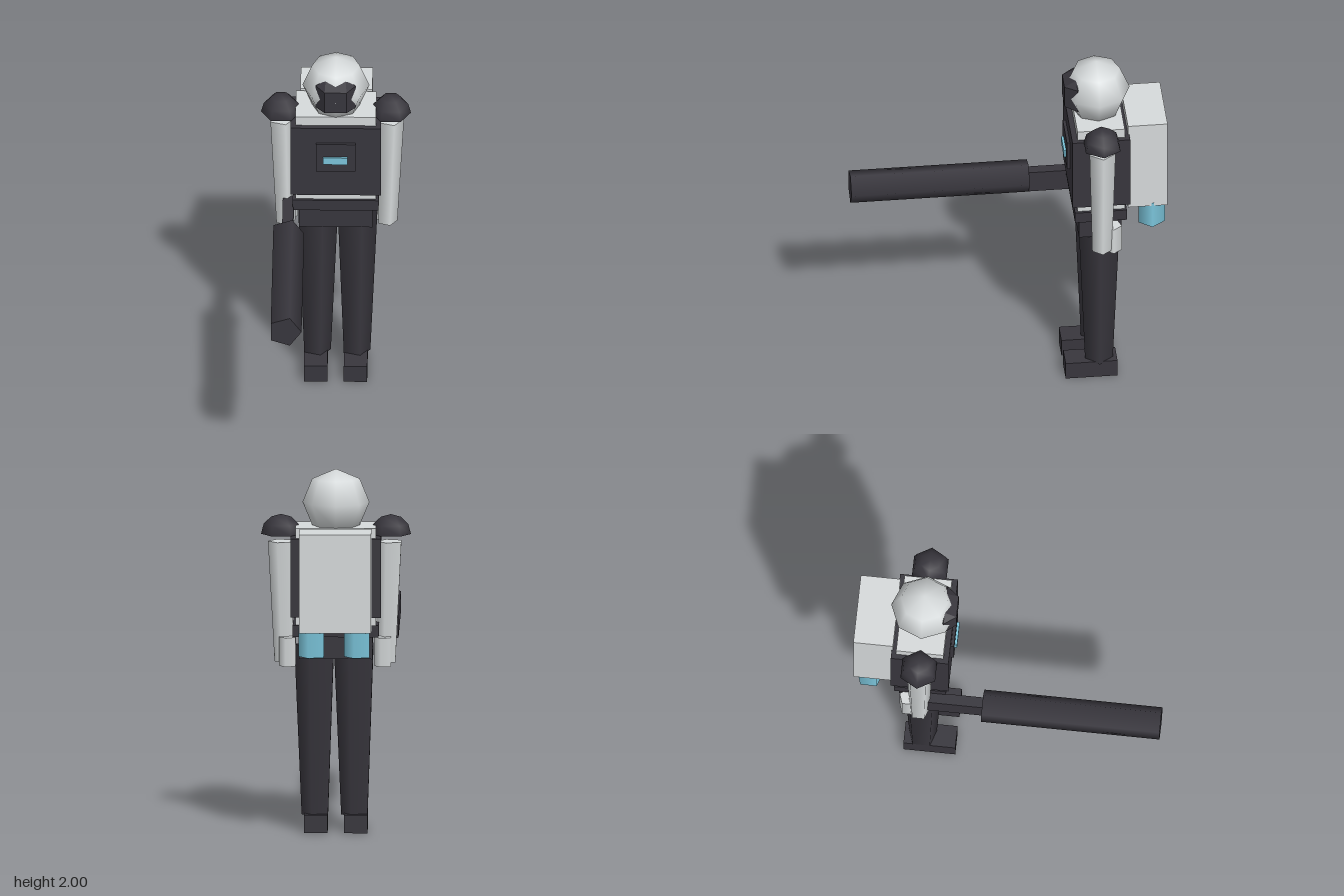
import * as THREE from 'three';
import { ConvexGeometry } from 'three/addons/geometries/ConvexGeometry.js';

export function createModel() {
  const model = new THREE.Group();
  model.name = 'armouredFigure';

  const material = (name, color, side = THREE.FrontSide) => {
    const m = new THREE.MeshStandardMaterial({ color, side });
    m.name = name;
    return m;
  };
  const dark = material('charcoal', 0x38363d, THREE.DoubleSide);
  const light = material('lightGrey', 0xd6dadb);
  const cyan = material('cyan', 0x7cc6dc);

  const add = (name, geometry, mat, x = 0, y = 0, z = 0) => {
    const mesh = new THREE.Mesh(geometry, mat);
    mesh.name = name;
    mesh.position.set(x, y, z);
    model.add(mesh);
    return mesh;
  };
  // Box given by its limits on each axis
  const box = (name, mat, x0, x1, y0, y1, z0, z1) =>
    add(name, new THREE.BoxGeometry(x1 - x0, y1 - y0, z1 - z0), mat,
      (x0 + x1) / 2, (y0 + y1) / 2, (z0 + z1) / 2);
  // Five-sided post with one corner toward +x
  const post = (rTop, rBottom, h) =>
    new THREE.CylinderGeometry(rTop, rBottom, h, 5, 1, false, Math.PI / 2);

  const midZ = -0.477;

  // Body
  box('innerTorso', light, -0.22, 0.22, 1.14, 1.69, -0.61, -0.35);
  box('chestArmour', dark, -0.247, 0.247, 1.2, 1.635, -0.637, -0.32);
  box('chestPanel', dark, -0.108, 0.108, 1.365, 1.54, -0.33, -0.304);
  box('chestLight', cyan, -0.068, 0.066, 1.417, 1.46, -0.31, -0.291);
  box('belt', dark, -0.235, 0.235, 1.09, 1.155, -0.62, -0.335);
  box('pelvis', dark, -0.2, 0.2, 0.965, 1.09, -0.595, -0.36);

  // Head with a chamfered visor sunk into the face
  add('head', new THREE.SphereGeometry(0.183, 8, 4), light, 0, 1.817, midZ);
  const visor = [];
  for (const sx of [-1, 1]) for (const sy of [-1, 1]) {
    for (const [x, y, z] of [[0.06, 0.065, -0.2955], [0.11, 0.07, -0.362],
      [0.055, 0.102, -0.362], [0.07, 0.07, -0.43]]) {
      visor.push(new THREE.Vector3(sx * x, sy * y, z));
    }
  }
  add('visor', new ConvexGeometry(visor), dark, 0, 1.817, 0);

  // Limbs and paired parts
  for (const [side, s] of [['left', 1], ['right', -1]]) {
    add(side + 'ShoulderPad',
      new THREE.SphereGeometry(0.11, 6, 3, 0, Math.PI * 2, 0, Math.PI / 2),
      dark, s * 0.3, 1.64, midZ);

    // The arm leans in slightly toward the hand
    const arm = post(0.075, 0.057, 0.665);
    const p = arm.attributes.position;
    for (let i = 0; i < p.count; i++) p.setX(i, p.getX(i) + s * 0.018 * (p.getY(i) / 0.665));
    add(side + 'Arm', arm, light, s * 0.288, 1.268, midZ);
    add(side + 'Hand', post(0.05, 0.05, 0.16), light, s * 0.26, 1.0, -0.54);

    add(side + 'Leg', post(0.12, 0.08, 0.94), dark, s * 0.108, 0.56, midZ);
    box(side + 'Boot', dark, s * 0.109 - 0.064, s * 0.109 + 0.064, 0, 0.1, -0.575, -0.29);
    add(side + 'Thruster', post(0.077, 0.077, 0.16), cyan, s * 0.125, 1.085, -0.765);
  }

  // Backpack
  box('backpack', light, -0.197, 0.197, 1.145, 1.69, -0.848, -0.63);

  // Long weapon held by the right hand
  box('weaponStock', dark, -0.29, -0.23, 0.985, 1.11, -0.45, -0.12);
  const barrel = post(0.093, 0.093, 0.98);
  barrel.rotateX(Math.PI / 2);
  add('weaponBarrel', barrel, dark, -0.262, 1.07, 0.36);

  return model;
}
